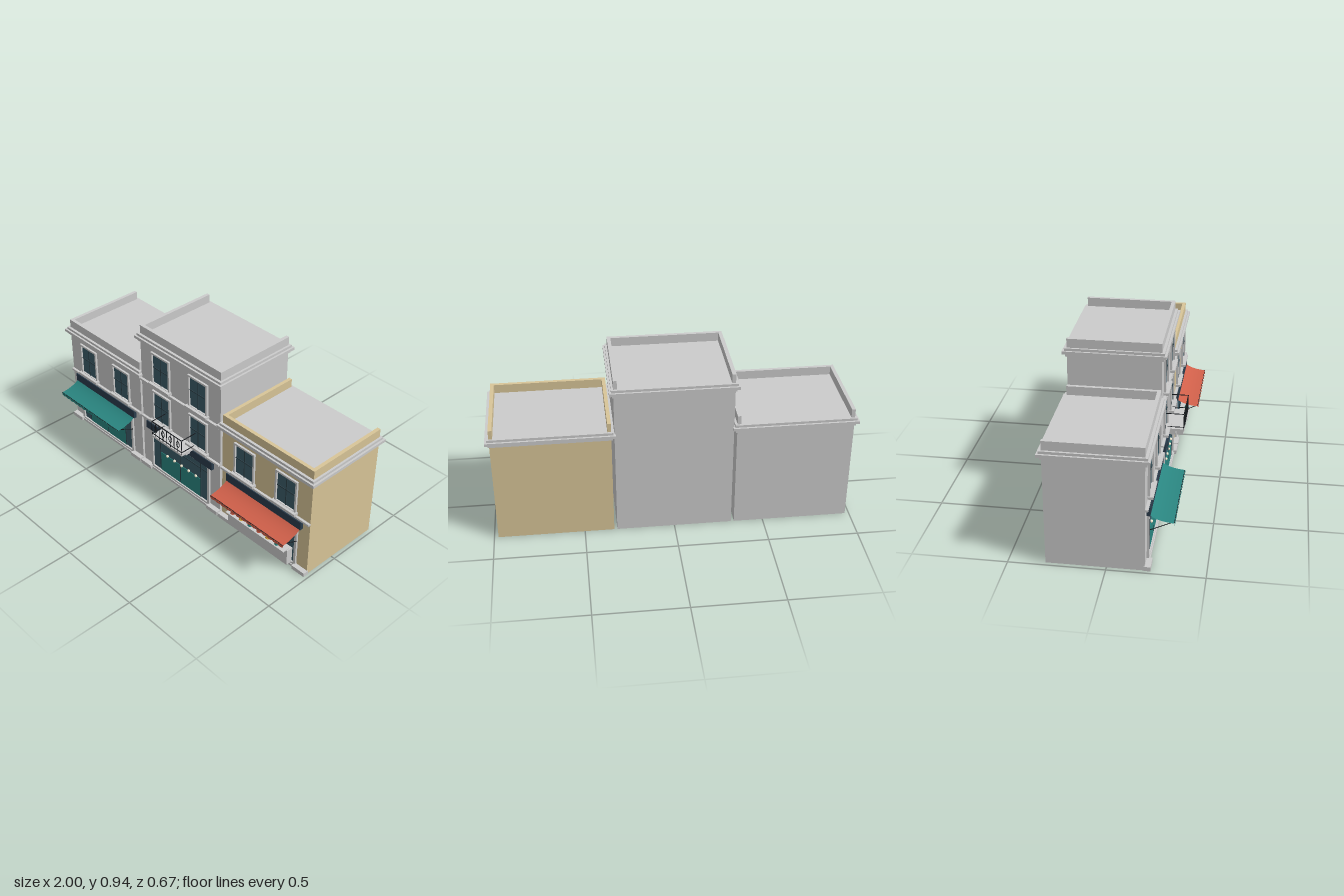
import * as THREE from 'three';

const mat = (color) => new THREE.MeshStandardMaterial({ color });
const M = {
  stone: mat(0xcccccc), tan: mat(0xd8c598), glass: mat(0x3c5b68), navy: mat(0x2a3c4c),
  teal: mat(0x2a8580), red: mat(0xd0604a), iron: mat(0x15181c), bar: mat(0x2c4048),
  lamp: mat(0xf3ead2), yellow: mat(0xe0b040),
};
const BACK = -0.31, FACE = 0.193;

function add(parent, name, geo, material, x = 0, y = 0, z = 0) {
  const m = new THREE.Mesh(geo, material);
  m.name = name;
  m.position.set(x, y, z);
  parent.add(m);
  return m;
}

// Box given by its extents
function slab(parent, name, material, x0, x1, y0, y1, z0, z1) {
  return add(parent, name, new THREE.BoxGeometry(x1 - x0, y1 - y0, z1 - z0), material,
    (x0 + x1) / 2, (y0 + y1) / 2, (z0 + z1) / 2);
}

// Thin round bar between two points
function rod(parent, name, a, b, r = 0.002) {
  const curve = new THREE.LineCurve3(new THREE.Vector3(...a), new THREE.Vector3(...b));
  return add(parent, name, new THREE.TubeGeometry(curve, 1, r, 6), M.iron);
}

// Rectangular surround with a hole, extruded forward from the wall
function surround(parent, name, x0, x1, y0, y1, t, depth) {
  const rect = (p, a, b, c, d) => p.moveTo(a, c).lineTo(b, c).lineTo(b, d).lineTo(a, d).lineTo(a, c);
  const s = rect(new THREE.Shape(), x0, x1, y0, y1);
  s.holes.push(rect(new THREE.Path(), x0 + t, x1 - t, y0 + t, y1 - t));
  add(parent, name, new THREE.ExtrudeGeometry(s, { depth, bevelEnabled: false }), M.stone, 0, 0, FACE);
}

function sashWindow(parent, x, y) {
  const g = new THREE.Group();
  g.name = 'window';
  g.position.set(x, y, 0);
  parent.add(g);
  slab(g, 'windowGlass', M.glass, -0.066, 0.066, 0.015, 0.2, FACE - 0.01, FACE + 0.002);
  surround(g, 'windowSurround', -0.075, 0.075, 0.005, 0.21, 0.011, 0.012);
  slab(g, 'windowMullion', M.bar, -0.003, 0.003, 0.015, 0.2, FACE, 0.199);
  slab(g, 'windowMeetingRail', M.bar, -0.064, 0.064, 0.112, 0.118, FACE, 0.199);
  slab(g, 'windowSill', M.stone, -0.083, 0.083, 0, 0.014, FACE, 0.222);
}

function shopFront(parent, hasStall) {
  const g = new THREE.Group();
  g.name = 'shopFront';
  parent.add(g);
  slab(g, 'shopGlass', M.glass, -0.235, 0.235, 0.02, 0.285, FACE - 0.01, FACE + 0.002);
  surround(g, 'shopFrame', -0.245, 0.245, 0.012, 0.292, 0.015, 0.012);
  slab(g, 'transomBar', M.bar, -0.23, 0.23, 0.232, 0.238, FACE, 0.199);
  for (const x of [-0.17, 0, 0.17]) slab(g, 'shopMullion', M.bar, x - 0.003, x + 0.003, 0.03, 0.28, FACE, 0.199);
  if (!hasStall) {
    slab(g, 'shopPanel', M.teal, -0.167, -0.003, 0.027, 0.155, FACE, 0.198);
    slab(g, 'shopPanel', M.teal, 0.003, 0.167, 0.027, 0.155, FACE, 0.198);
    for (let i = 0; i < 5; i++)
      add(g, 'globeLamp', new THREE.SphereGeometry(0.009, 12, 8), M.lamp, -0.11 + i * 0.06, 0.157, 0.198);
  }
  // Threshold and base blocks
  slab(g, 'threshold', M.stone, -0.24, 0.24, 0, 0.015, FACE, 0.21);
  for (const s of [-1, 1]) {
    const [a, b] = [s * 0.238, s * 0.325].sort((p, q) => p - q);
    slab(g, 'baseBlock', M.stone, a, b, 0, 0.024, 0.188, 0.222);
  }
  slab(g, 'fascia', M.navy, -0.272, 0.272, 0.287, 0.337, FACE, 0.213);
}

function awning(parent, material) {
  const g = new THREE.Group();
  g.name = 'awning';
  parent.add(g);
  const W = 0.535;
  const cloth = material.clone();
  cloth.side = THREE.DoubleSide;
  const curve = new THREE.QuadraticBezierCurve3(
    new THREE.Vector3(0, 0.29, 0.21), new THREE.Vector3(0, 0.258, 0.25), new THREE.Vector3(0, 0.253, 0.332));
  const geo = new THREE.PlaneGeometry(W, 1, 1, 10);
  const p = geo.attributes.position;
  for (let i = 0; i < p.count; i++) {
    const c = curve.getPoint(0.5 - p.getY(i));
    p.setXYZ(i, p.getX(i), c.y, c.z);
  }
  geo.computeVertexNormals();
  add(g, 'awningCloth', geo, cloth);
  // Scalloped valance along the front edge
  const n = 14, s = new THREE.Shape();
  s.moveTo(-W / 2, 0.253);
  s.lineTo(-W / 2, 0.242);
  for (let i = 0; i < n; i++) {
    const x = -W / 2 + (i * W) / n;
    s.quadraticCurveTo(x + W / n / 2, 0.23, x + W / n, 0.242);
  }
  s.lineTo(W / 2, 0.253);
  add(g, 'awningValance', new THREE.ShapeGeometry(s, 4), cloth, 0, 0, 0.333);
  rod(g, 'awningFrontBar', [-W / 2, 0.252, 0.33], [W / 2, 0.252, 0.33]);
  for (const x of [-0.25, 0.25]) rod(g, 'awningBrace', [x, 0.252, 0.328], [x, 0.195, 0.208]);
}

function balcony(parent) {
  const g = new THREE.Group();
  g.name = 'balcony';
  parent.add(g);
  slab(g, 'balconyFloor', M.stone, -0.125, 0.125, 0.345, 0.358, FACE, 0.298);
  for (const x of [-0.085, 0.085]) slab(g, 'balconyBracket', M.stone, x - 0.015, x + 0.015, 0.31, 0.345, FACE, 0.245);
  for (const y of [0.37, 0.45]) {
    rod(g, 'frontRail', [-0.123, y, 0.296], [0.123, y, 0.296], 0.0025);
    for (const x of [-0.123, 0.123]) rod(g, 'sideRail', [x, y, FACE], [x, y, 0.296], 0.0025);
  }
  for (let i = 0; i <= 8; i++) {
    const x = -0.123 + i * 0.03075;
    rod(g, 'baluster', [x, 0.358, 0.296], [x, 0.45, 0.296]);
    if (i % 2) {
      const ring = add(g, 'balusterScroll', new THREE.TorusGeometry(0.012, 0.0018, 6, 16), M.iron, x, 0.41, 0.296);
      ring.scale.y = 1.6;
    }
  }
}

function fruitStall(parent) {
  const g = new THREE.Group();
  g.name = 'stall';
  parent.add(g);
  slab(g, 'stallCounter', M.stone, -0.22, 0.22, 0.028, 0.125, 0.203, 0.243);
  slab(g, 'stallTray', M.stone, -0.215, 0.215, 0.127, 0.132, 0.222, 0.268);
  slab(g, 'traySupport', M.stone, -0.2, 0.2, 0.12, 0.128, 0.223, 0.242);
  const colors = [M.red, M.yellow, M.teal];
  for (let i = 0; i < 6; i++)
    add(g, 'producePile', new THREE.CylinderGeometry(0.006, 0.015, 0.022, 10), colors[i % 3], -0.18 + i * 0.066, 0.143, 0.246);
}

// One terraced house; top is the upper face of the cornice
function house(name, x, top, wall) {
  const g = new THREE.Group();
  g.name = name;
  g.position.x = x;
  const H = 0.32;
  slab(g, 'walls', wall, -H, H, 0, top - 0.01, BACK, FACE);
  // Stepped cornice on all sides
  [[0.008, -0.048, -0.03], [0.023, -0.03, -0.014], [0.012, -0.014, 0]].forEach(([o, a, b]) =>
    slab(g, 'cornice', M.stone, -H - o, H + o, top + a, top + b, BACK - o, FACE + o + 0.003));
  // Parapet, open at the back
  const p = top + 0.05, t = 0.02;
  slab(g, 'frontParapet', wall, -H, H, top, p, FACE - t, FACE);
  slab(g, 'leftParapet', wall, H - t, H, top, p, BACK, FACE - t);
  slab(g, 'rightParapet', wall, -H, -H + t, top, p, BACK, FACE - t);
  slab(g, 'stringCourse', M.stone, -H, H, 0.338, 0.35, FACE - 0.003, 0.208);
  for (const s of [-0.15, 0.15]) sashWindow(g, s, 0.357);
  return g;
}

export function createModel() {
  const model = new THREE.Group();
  model.name = 'shopTerrace';

  const right = house('rightShop', -0.657, 0.64, M.stone);
  shopFront(right, false);
  awning(right, M.teal);

  const middle = house('middleShop', 0, 0.895, M.stone);
  shopFront(middle, false);
  balcony(middle);
  slab(middle, 'upperStringCourse', M.stone, -0.32, 0.32, 0.592, 0.604, FACE - 0.003, 0.208);
  for (const s of [-0.15, 0.15]) sashWindow(middle, s, 0.61);

  const left = house('leftShop', 0.657, 0.64, M.tan);
  shopFront(left, true);
  awning(left, M.red);
  fruitStall(left);

  model.add(right, middle, left);
  return model;
}
